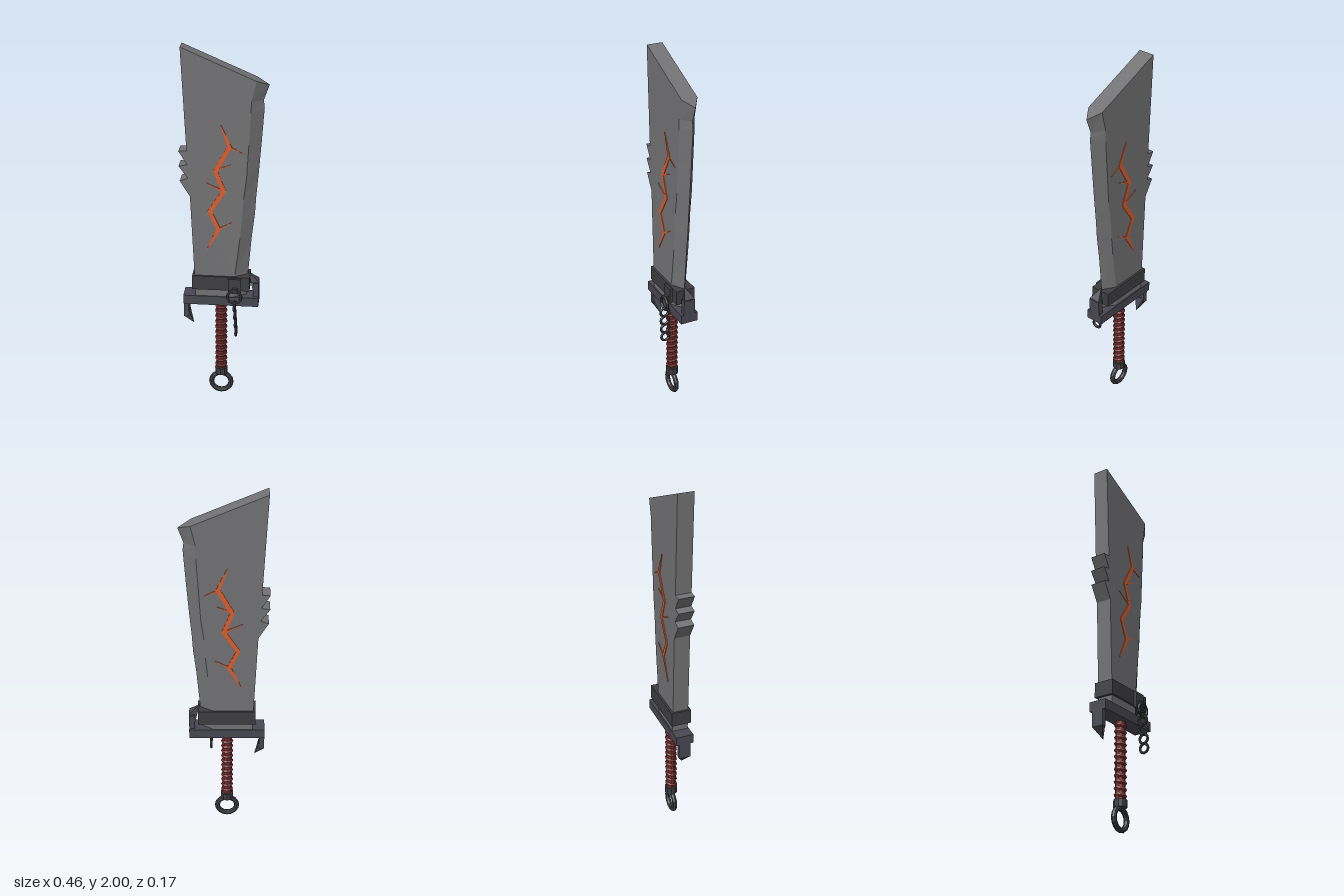
import * as THREE from 'three';
import { ConvexGeometry } from 'three/addons/geometries/ConvexGeometry.js';

const ZC = -0.033; // middle plane of the sword
const HALF = 0.043; // half thickness of the blade
const GRIP_X = -0.015;

const mat = (name, color) => {
  const m = new THREE.MeshStandardMaterial({ color, flatShading: true });
  m.name = name;
  return m;
};

export function createModel() {
  const steel = mat('blade steel', 0x727274);
  const iron = mat('dark iron', 0x3e3e41);
  const guardIron = mat('guard iron', 0x484752);
  const leather = mat('red leather', 0x7c322f);
  const ember = mat('ember orange', 0xe25a28);

  const root = new THREE.Group();
  root.name = 'greatsword';
  const add = (name, geometry, material, x = 0, y = 0, z = 0, parent = root) => {
    const mesh = new THREE.Mesh(geometry, material);
    mesh.name = name;
    mesh.position.set(x, y, z);
    parent.add(mesh);
    return mesh;
  };
  // box given by its limits in x and y, and its middle and depth in z
  const block = (name, material, x0, x1, y0, y1, depth, z = ZC) =>
    add(name, new THREE.BoxGeometry(x1 - x0, y1 - y0, depth), material, (x0 + x1) / 2, (y0 + y1) / 2, z);
  const plate = (points, depth) => new THREE.ExtrudeGeometry(
    new THREE.Shape(points.map(([x, y]) => new THREE.Vector2(x, y))), { depth, bevelEnabled: false });

  // Blade: each station is [bevel x, bevel y, edge x, edge y], bottom to top
  const stations = [
    [0.055, 0.62, 0.12, 0.62], [0.062, 0.76, 0.13, 0.76], [0.088, 0.98, 0.148, 0.98],
    [0.098, 1.09, 0.163, 1.11], [0.105, 1.2, 0.168, 1.2], [0.12, 1.32, 0.18, 1.34],
    [0.13, 1.5, 0.192, 1.5], [0.14, 1.67, 0.205, 1.69], [0.14, 1.73, 0.2, 1.73],
    [0.165, 1.837, 0.228, 1.81],
  ];
  const spine = [
    [-0.215, 2.0], [-0.189, 1.46], [-0.231, 1.458], [-0.187, 1.385], [-0.231, 1.377],
    [-0.184, 1.31], [-0.226, 1.296], [-0.174, 1.21], [-0.155, 0.755], [-0.15, 0.62],
  ];
  add('bladeBody', plate([...stations.map(([x, y]) => [x, y]), ...spine], HALF * 2), steel, 0, 0, ZC - HALF);

  // Sharpened bevel: a wedge running along the stations
  const pos = [];
  const quad = (a, b, c, d) => pos.push(...a, ...b, ...c, ...a, ...c, ...d);
  const rings = stations.map(([bx, by, ex, ey]) => ({
    f: [bx, by, HALF], e: [ex, ey, 0], r: [bx, by, -HALF],
  }));
  for (let i = 0; i < rings.length - 1; i++) {
    const a = rings[i], b = rings[i + 1];
    quad(a.f, a.e, b.e, b.f);
    quad(a.e, a.r, b.r, b.e);
  }
  const top = rings[rings.length - 1];
  pos.push(...top.f, ...top.e, ...top.r, ...rings[0].f, ...rings[0].r, ...rings[0].e);
  const bevel = new THREE.BufferGeometry();
  bevel.setAttribute('position', new THREE.Float32BufferAttribute(pos, 3));
  bevel.computeVertexNormals();
  add('bladeBevel', bevel, steel, 0, 0, ZC);

  // Glowing crack: tapered ribbons on both faces
  const ribbon = (points, width) => {
    const left = [], right = [];
    points.forEach(([x, y], i) => {
      const p = points[Math.max(i - 1, 0)], n = points[Math.min(i + 1, points.length - 1)];
      const dx = n[0] - p[0], dy = n[1] - p[1], len = Math.hypot(dx, dy);
      const end = i === points.length - 1 || (i === 0 && points.length > 2);
      const w = end ? width * 0.15 : width;
      left.push([x - dy / len * w, y + dx / len * w]);
      right.unshift([x + dy / len * w, y - dx / len * w]);
    });
    return plate([...right, ...left], 0.005);
  };
  const cracks = [
    [[[-0.013, 1.605], [0.032, 1.49], [-0.04, 1.357], [0.003, 1.246], [-0.071, 1.13], [-0.024, 1.03], [-0.087, 0.908]], 0.012],
    [[[0.03, 1.488], [0.1, 1.457]], 0.005],
    [[[-0.04, 1.36], [0.04, 1.394]], 0.005],
    [[[0.0, 1.246], [-0.093, 1.292]], 0.005],
    [[[-0.024, 1.03], [0.047, 1.072]], 0.005],
  ];
  for (const z of [ZC + HALF - 0.002, ZC - HALF - 0.003]) {
    cracks.forEach(([points, w], i) => add(i ? 'crackBranch' : 'crack', ribbon(points, w), ember, 0, 0, z));
  }

  // Collar and crossguard
  block('collar', iron, -0.167, 0.142, 0.675, 0.755, 0.109);
  block('guard', guardIron, -0.217, 0.19, 0.58, 0.632, 0.097);

  // Guard hooks: a post ending in a claw
  const claw = (name, a, b, tip) => {
    const points = [new THREE.Vector3(tip[0], tip[1], 0)];
    for (const z of [-0.03, 0.03]) points.push(new THREE.Vector3(a[0], a[1], z), new THREE.Vector3(b[0], b[1], z));
    add(name, new ConvexGeometry(points), guardIron, 0, 0, ZC);
  };
  block('upperHook', guardIron, 0.16, 0.19, 0.6, 0.715, 0.064);
  claw('upperClaw', [0.19, 0.72], [0.158, 0.67], [0.133, 0.768]);
  block('lowerHook', guardIron, -0.217, -0.19, 0.495, 0.6, 0.064);
  claw('lowerClaw', [-0.217, 0.495], [-0.188, 0.52], [-0.165, 0.44]);

  // Grip with slanted leather wraps
  add('grip', new THREE.CylinderGeometry(0.026, 0.026, 0.43, 10), leather, GRIP_X, 0.375, ZC);
  const turns = 12;
  for (let i = 0; i < turns; i++) {
    const wrap = add('gripWrap', new THREE.TorusGeometry(0.024, 0.01, 6, 12), leather,
      GRIP_X, 0.19 + i * 0.0335, ZC);
    wrap.rotation.x = Math.PI / 2 + 0.22;
  }

  // Pommel
  add('ferrule', new THREE.CylinderGeometry(0.035, 0.035, 0.04, 10), iron, GRIP_X, 0.148, ZC);
  add('pommelRing', new THREE.TorusGeometry(0.055, 0.0145, 8, 16), iron, GRIP_X, 0.07, ZC);

  // Chain hanging from the collar
  block('chainMount', iron, 0.028, 0.097, 0.665, 0.75, 0.016, 0.028);
  block('chainPin', iron, 0.052, 0.078, 0.672, 0.7, 0.02, 0.042);
  add('chainRing', new THREE.TorusGeometry(0.037, 0.008, 6, 14), iron, 0.063, 0.653, 0.052);
  for (let i = 0; i < 4; i++) {
    const link = add('chainLink', new THREE.TorusGeometry(0.0245, 0.0075, 6, 12), iron,
      0.064 + i * 0.003, 0.597 - i * 0.05, 0.052);
    link.rotation.set(0, Math.PI / 2, 0);
  }

  return root;
}
